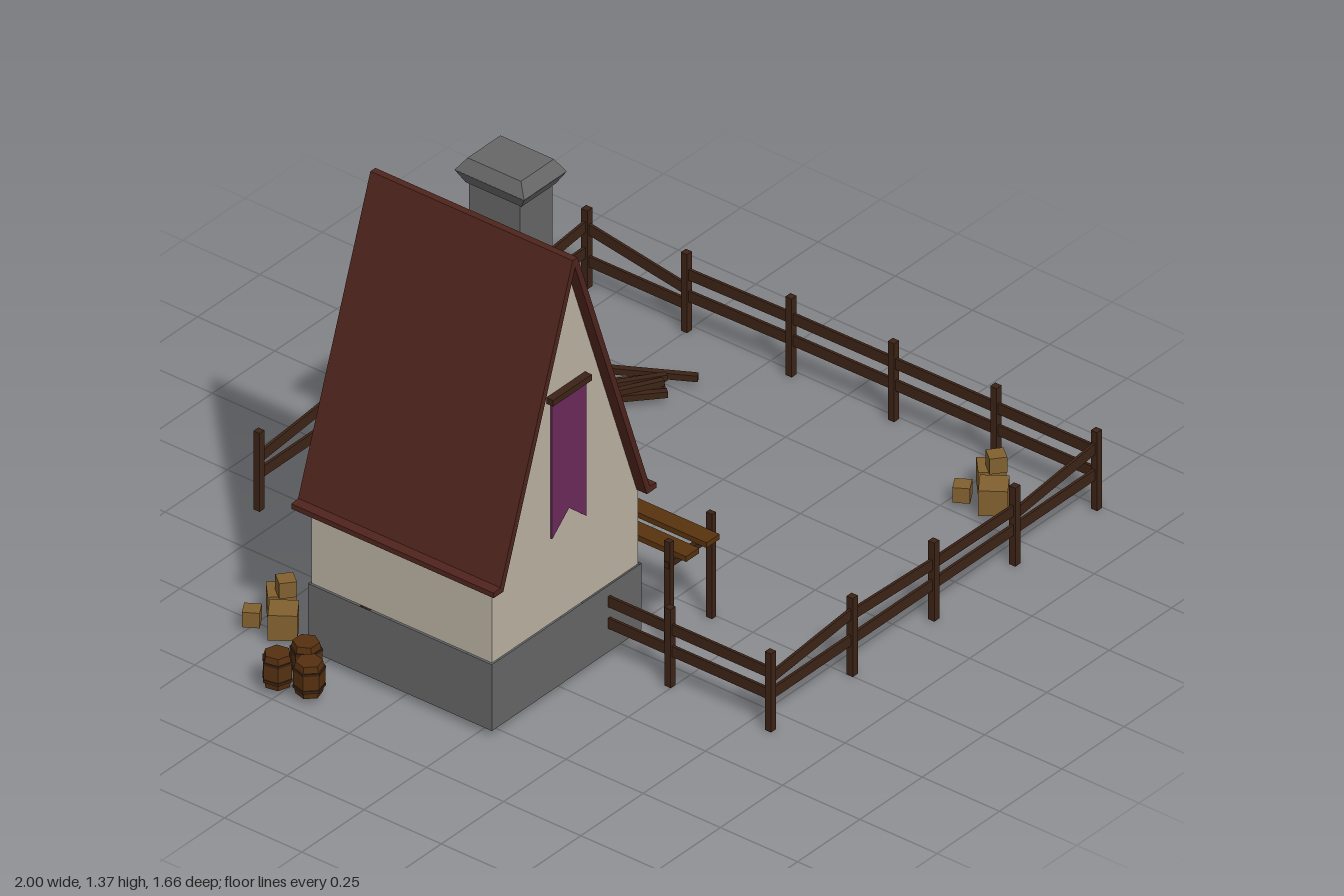
import * as THREE from 'three';

const mat = (color, side = THREE.FrontSide) =>
  new THREE.MeshStandardMaterial({ color, side, flatShading: true });
const M = {
  stone: mat(0x666666), stoneWall: mat(0x666666, THREE.DoubleSide), plaster: mat(0xbcb2a3),
  roof: mat(0x4e241c), wood: mat(0x3c2315), plank: mat(0x57330f), barrel: mat(0x54300f),
  crate: mat(0x81602f), cloth: mat(0x6d2a5c, THREE.DoubleSide), door: mat(0x4a2a16),
};

function add(parent, name, geo, material, x = 0, y = 0, z = 0) {
  const m = new THREE.Mesh(geo, material);
  m.name = name;
  m.position.set(x, y, z);
  parent.add(m);
  return m;
}
const box = (parent, name, material, w, h, d, x, y, z) =>
  add(parent, name, new THREE.BoxGeometry(w, h, d), material, x, y, z);

// Straight timber between two points, w wide and h tall
function beam(parent, name, material, a, b, w, h) {
  const p = new THREE.Vector3(...a), q = new THREE.Vector3(...b);
  const m = box(parent, name, material, w, h, p.distanceTo(q), 0, 0, 0);
  m.position.copy(p).lerp(q, 0.5);
  m.lookAt(q);
  return m;
}

const shape = (pts) => new THREE.Shape(pts.map(([x, y]) => new THREE.Vector2(x, y)));
const extrude = (s, depth) =>
  new THREE.ExtrudeGeometry(s, { depth, bevelEnabled: false, curveSegments: 4 });
const group = (parent, name) => {
  const g = new THREE.Group();
  g.name = name;
  parent.add(g);
  return g;
};

function arch(w, h) {
  const s = new THREE.Shape();
  s.moveTo(-w / 2, 0);
  s.lineTo(w / 2, 0);
  s.lineTo(w / 2, h * 0.78);
  s.quadraticCurveTo(w / 2, h, 0, h);
  s.quadraticCurveTo(-w / 2, h, -w / 2, h * 0.78);
  return s;
}

function buildHouse(root) {
  const house = group(root, 'house');
  const cx = -0.49;
  // Open-bottomed stone footing
  const footing = new THREE.CylinderGeometry(Math.SQRT1_2, Math.SQRT1_2, 0.2, 4, 1, true);
  footing.rotateY(Math.PI / 4).scale(0.6, 1, 0.595);
  add(house, 'stoneFooting', footing, M.stoneWall, cx, 0.12, -0.005);
  // Plaster walls with steep gables
  add(house, 'walls', extrude(shape([
    [-0.293, 0.219], [0.293, 0.219], [0.293, 0.455], [0, 1.285], [-0.293, 0.455],
  ]), 0.585), M.plaster, cx, 0, -0.298);
  // Thin roof shell with small flared eaves
  add(house, 'roof', extrude(shape([
    [-0.327, 0.445], [-0.288, 0.445], [0, 1.275], [0.288, 0.445], [0.327, 0.445],
    [0.327, 0.46], [0.3, 0.463], [0.01, 1.3], [-0.01, 1.3], [-0.3, 0.463], [-0.327, 0.46],
  ]), 0.655), M.roof, cx, 0, -0.335);
  // Chimney and its flared cap
  box(house, 'chimney', M.stone, 0.13, 0.76, 0.165, -0.315, 0.92, -0.03);
  const capPart = (name, r0, r1, y) => {
    const g = new THREE.CylinderGeometry(r1, r0, 0.037, 4).rotateY(Math.PI / 4);
    g.scale(Math.SQRT2, 1, Math.SQRT2 * 1.31);
    add(house, name, g, M.stone, -0.315, y, -0.03);
  };
  capPart('chimneyCapBottom', 0.069, 0.086, 1.315);
  capPart('chimneyCapTop', 0.086, 0.066, 1.3515);
  // Swallow-tailed banner on a rod
  add(house, 'banner', extrude(shape([
    [-0.555, 0.9], [-0.555, 0.48], [-0.487, 0.54], [-0.417, 0.48], [-0.417, 0.9],
  ]), 0.006), M.cloth, 0, 0, 0.292);
  box(house, 'bannerRod', M.wood, 0.155, 0.018, 0.022, -0.487, 0.898, 0.298);
  // Arched back door in a frame
  const frame = arch(0.18, 0.245);
  frame.holes.push(new THREE.Path(arch(0.15, 0.225).getPoints(4).reverse()));
  add(house, 'doorFrame', extrude(frame, 0.02), M.wood, cx, 0.02, -0.314);
  add(house, 'door', extrude(arch(0.152, 0.226), 0.012), M.door, cx, 0.02, -0.309);
}

// Fence run: posts at each point; rails give [upper start, upper end, lower] per gap
function buildFence(root, name, posts, rails, openEnd = false) {
  const fence = group(root, name);
  posts.forEach(([x, z], i) => {
    if (!(openEnd && i === posts.length - 1))
      box(fence, 'fencePost', M.wood, 0.02, 0.236, 0.02, x, 0.118, z);
    if (i === 0) return;
    const [px, pz] = posts[i - 1], [u0, u1, low] = rails[i - 1];
    beam(fence, 'upperRail', M.wood, [px, u0, pz], [x, u1, z], 0.008, 0.032);
    beam(fence, 'lowerRail', M.wood, [px, low, pz], [x, low, z], 0.008, 0.032);
  });
}

function buildRack(root) {
  const rack = group(root, 'rack');
  for (const z of [-0.485, -0.19, 0.053, 0.372]) {
    for (const x of [-0.178, -0.01]) box(rack, 'rackPost', M.wood, 0.016, 0.315, 0.02, x, 0.1575, z);
    box(rack, 'crossBar', M.wood, 0.19, 0.018, 0.016, -0.094, 0.246, z);
  }
  for (const x of [-0.131, -0.049]) box(rack, 'longPlank', M.plank, 0.052, 0.016, 0.925, x, 0.263, -0.052);
}

// Three floor crates and one small crate stacked on top
function buildCrates(root, x, z) {
  const crates = group(root, 'crates');
  crates.position.set(x, 0, z);
  const layout = [
    [-0.035, 0.03, 0.075, 0.015, 0.62], [0.032, -0.032, 0.072, 0.015, 0.75],
    [-0.05, -0.06, 0.045, 0.015, 0.55], [0.025, -0.01, 0.046, 0.087, 0.9],
  ];
  for (const [cx, cz, s, y, turn] of layout)
    box(crates, 'crate', M.crate, s, s, s, cx, y + s / 2, cz).rotation.y = turn;
  return crates;
}

function buildBarrels(root) {
  const barrels = group(root, 'barrels');
  const profile = [[0, 0], [0.035, 0], [0.041, 0.03], [0.041, 0.065], [0.035, 0.095], [0, 0.095]]
    .map(([r, y]) => new THREE.Vector2(r, y));
  for (const [x, z, turn] of [[-0.96, -0.265, 0.2], [-0.875, -0.24, 0.5], [-0.94, -0.178, 0.8]]) {
    const b = group(barrels, 'barrel');
    b.position.set(x, 0.02, z);
    b.rotation.y = turn;
    add(b, 'staves', new THREE.LatheGeometry(profile, 6), M.barrel);
    for (const y of [0.022, 0.073])
      add(b, 'hoop', new THREE.CylinderGeometry(0.0425, 0.0425, 0.008, 6), M.wood, 0, y, 0);
  }
}

function buildLogs(root) {
  const logs = group(root, 'logPile');
  const ends = [
    [0.52, -0.475, 0.685, -0.33, 0.03], [0.54, -0.5, 0.7, -0.35, 0.03],
    [0.565, -0.53, 0.735, -0.38, 0.03], [0.53, -0.5, 0.725, -0.365, 0.046],
    [0.52, -0.455, 0.7, -0.355, 0.046], [0.68, -0.51, 0.79, -0.315, 0.03],
  ];
  for (const [x0, z0, x1, z1, y] of ends)
    beam(logs, 'log', M.wood, [x0, y, z0], [x1, y, z1], 0.018, 0.018);
}

export function createModel() {
  const root = new THREE.Group();
  root.name = 'farmstead';
  buildHouse(root);

  // Yard fence on four sides, open near the house
  const level = [0.172, 0.172, 0.107];
  const wavy = [[0.155, 0.186, 0.107], [0.18, 0.168, 0.107], [0.168, 0.165, 0.107], [0.15, 0.186, 0.107]];
  buildFence(root, 'frontFence', [-0.32, 0.008, 0.335, 0.66, 0.988].map((x) => [x, 0.815]), wavy);
  buildFence(root, 'backFence', [-0.34, -0.007, 0.32, 0.65, 0.975].map((x) => [x, -0.825]), wavy);
  buildFence(root, 'sideFence', [[0.975, -0.825], [0.976, -0.503], [0.983, -0.17], [0.985, 0.16],
    [0.987, 0.49], [0.988, 0.815]], [[0.178, 0.125, 0.08], level, level, level, level]);
  buildFence(root, 'houseFence', [[-0.32, 0.815], [-0.32, 0.49], [-0.32, 0.28]], [level, level], true);

  buildRack(root);
  buildCrates(root, 0.843, 0.598);
  buildCrates(root, -0.727, -0.435).rotation.y = 0;
  buildBarrels(root);
  buildLogs(root);
  return root;
}
